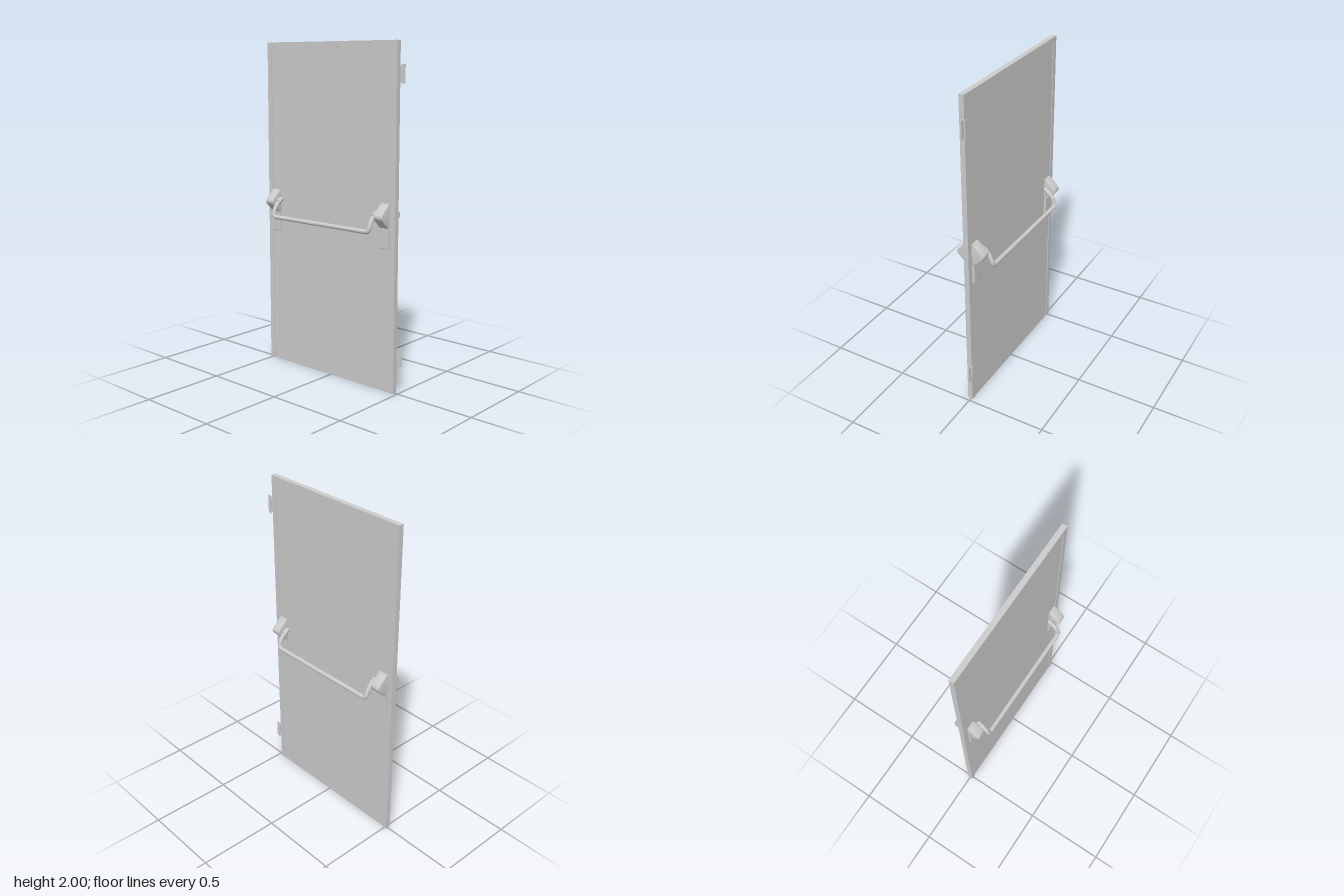
import * as THREE from 'three';
import { toCreasedNormals } from 'three/addons/utils/BufferGeometryUtils.js';
import { RoundedBoxGeometry } from 'three/addons/geometries/RoundedBoxGeometry.js';

const material = new THREE.MeshStandardMaterial({ color: 0xcccccc });
const V = (x, y, z) => new THREE.Vector3(x, y, z);

function add(parent, name, geometry, x = 0, y = 0, z = 0) {
  const mesh = new THREE.Mesh(geometry, material);
  mesh.name = name;
  mesh.position.set(x, y, z);
  parent.add(mesh);
  return mesh;
}

const HALF = 0.0155; // half thickness of the door leaf
const W = 0.4985; // half width of the door leaf

// Latch housing: wedge with a rounded nose, extruded along the door width
function housingGeometry() {
  const s = new THREE.Shape();
  s.moveTo(0.008, 1.102);
  s.lineTo(0.014, 1.102);
  s.quadraticCurveTo(0.022, 1.102, 0.029, 1.096);
  s.lineTo(0.077, 1.05);
  s.quadraticCurveTo(0.094, 1.032, 0.078, 1.014);
  s.lineTo(0.031, 0.968);
  s.quadraticCurveTo(0.026, 0.964, 0.02, 0.964);
  s.lineTo(0.008, 0.964);
  s.closePath();
  const b = 0.004;
  const g = new THREE.ExtrudeGeometry(s, {
    depth: 0.06 - 2 * b, bevelEnabled: true, bevelSize: b, bevelOffset: -b,
    bevelThickness: b, bevelSegments: 3, curveSegments: 8,
  });
  g.translate(0, 0, b - 0.03);
  return toCreasedNormals(g, 0.6);
}

// Push bar with bent arms, two housings and backplates for one door face
function createPushBar() {
  const side = new THREE.Group();
  side.name = 'pushBarAssembly';

  const arm = [
    [0.034, 1.045, 0.378], [0.055, 1.029, 0.378], [0.077, 1.005, 0.378],
    [0.091, 0.978, 0.378], [0.096, 0.96, 0.376], [0.0975, 0.949, 0.369],
    [0.0975, 0.945, 0.358], [0.0975, 0.945, 0.34], [0.0975, 0.945, 0.3],
  ].map((p) => V(...p));
  const otherArm = arm.map((p) => V(p.x, p.y, -p.z)).reverse();
  const path = new THREE.CatmullRomCurve3([...arm, ...otherArm]);
  add(side, 'pushBar', new THREE.TubeGeometry(path, 240, 0.0132, 16));

  for (const s of [1, -1]) {
    add(side, 'latchHousing', housingGeometry(), 0, 0, s * 0.428);
    add(side, 'backplate', new RoundedBoxGeometry(0.018, 0.258, 0.06, 3, 0.004),
      0.0165, 0.974, s * 0.428);
    // Pivot joint between arm and housing
    add(side, 'pivotBall', new THREE.SphereGeometry(0.015, 20, 14), 0.034, 1.045, s * 0.378);
    add(side, 'pivotPin', new THREE.CylinderGeometry(0.009, 0.009, 0.03, 16),
      0.034, 1.045, s * 0.392).rotation.x = Math.PI / 2;
    const collar = add(side, 'armCollar', new THREE.CylinderGeometry(0.017, 0.017, 0.014, 20),
      0.05, 1.033, s * 0.378);
    collar.quaternion.setFromUnitVectors(V(0, 1, 0), V(0.8, -0.6, 0).normalize());
  }
  return side;
}

// Hinge: thin leaf plate and a pin barrel
function createHinge(y) {
  const hinge = new THREE.Group();
  hinge.name = 'hinge';
  hinge.position.y = y;
  add(hinge, 'hingeLeaf', new THREE.BoxGeometry(0.003, 0.085, 0.054), HALF + 0.0012, 0, 0.503);
  add(hinge, 'hingeOuterLeaf', new THREE.BoxGeometry(0.003, 0.105, 0.021), HALF + 0.0014, 0, 0.521);
  add(hinge, 'hingeBarrel', new THREE.CylinderGeometry(0.005, 0.005, 0.105, 16),
    HALF + 0.0045, 0, 0.506);
  return hinge;
}

export function createModel() {
  const model = new THREE.Group();
  model.name = 'panicBarDoor';
  const door = new THREE.Group();
  door.name = 'door';
  door.position.set(-0.0025, 0, -0.0165);
  model.add(door);

  // Frame: two stiles and a top rail, open at the bottom
  const t = 0.032;
  const outline = [[-W, 0], [-W, 2], [W, 2], [W, 0], [W - t, 0], [W - t, 2 - t],
    [t - W, 2 - t], [t - W, 0]].map((p) => new THREE.Vector2(...p));
  const frame = new THREE.ExtrudeGeometry(new THREE.Shape(outline),
    { depth: 2 * HALF, bevelEnabled: false });
  frame.translate(0, 0, -HALF);
  frame.rotateY(Math.PI / 2);
  add(door, 'frame', frame);

  // Slightly recessed panel
  add(door, 'panel', new THREE.BoxGeometry(2 * (HALF - 0.004), 2 - t, 2 * (W - t)),
    0, (2 - t) / 2, 0);

  // Identical push bars on both faces
  for (const angle of [0, Math.PI]) {
    const bar = createPushBar();
    bar.rotation.y = angle;
    door.add(bar);
  }

  for (const y of [0.215, 1.82]) door.add(createHinge(y));
  return model;
}
